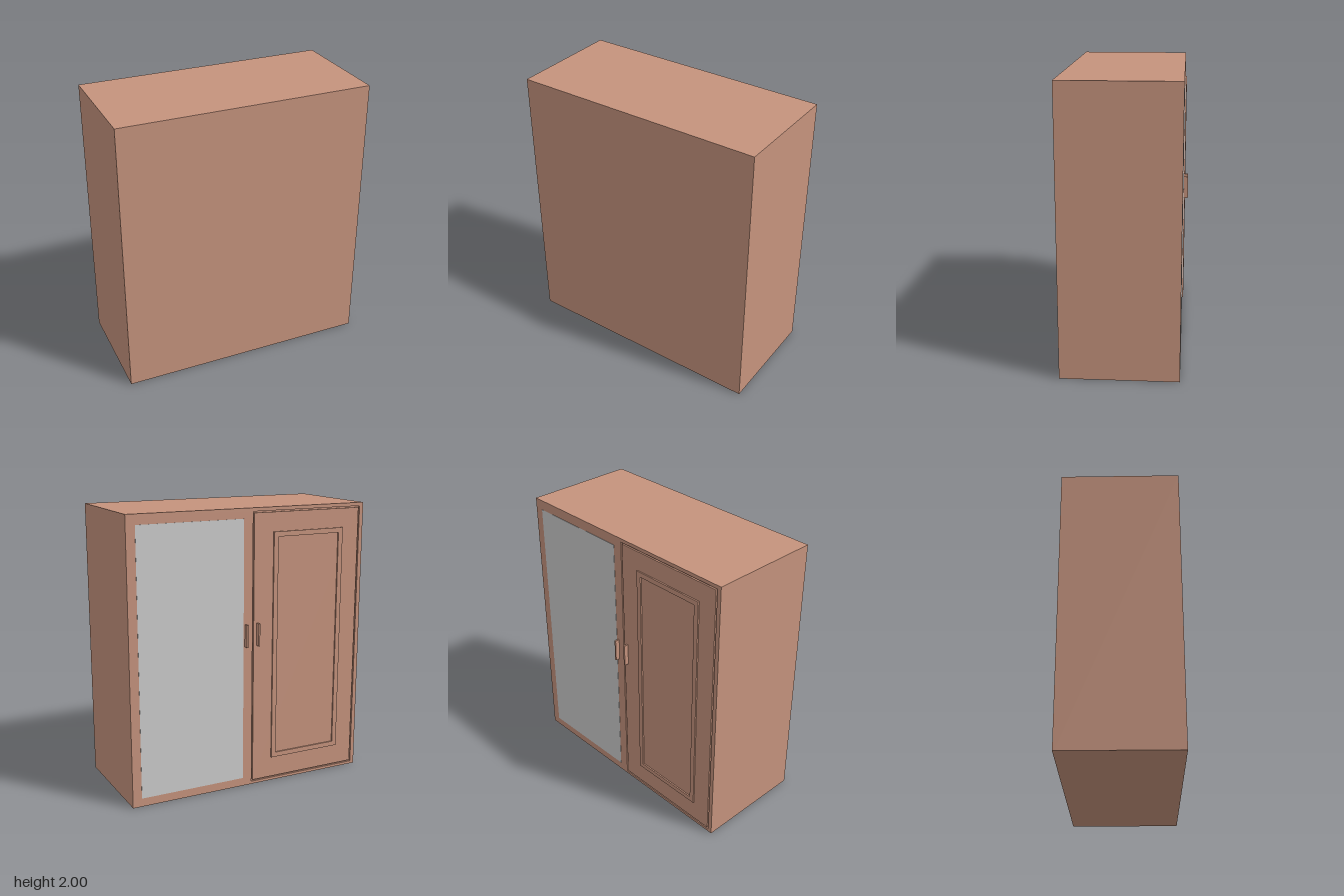
import * as THREE from 'three';

const wood = new THREE.MeshStandardMaterial({ color: 0xc5937d });
const grey = new THREE.MeshStandardMaterial({ color: 0xcccccc });

// Box given by its min and max corners
function box(name, x0, x1, y0, y1, z0, z1, material = wood) {
  const mesh = new THREE.Mesh(new THREE.BoxGeometry(x1 - x0, y1 - y0, z1 - z0), material);
  mesh.position.set((x0 + x1) / 2, (y0 + y1) / 2, (z0 + z1) / 2);
  mesh.name = name;
  return mesh;
}

function rectangle(path, x0, x1, y0, y1) {
  path.moveTo(x0, y0);
  path.lineTo(x1, y0);
  path.lineTo(x1, y1);
  path.lineTo(x0, y1);
  path.closePath();
  return path;
}

// Rectangular frame: outer and inner are [x0, x1, y0, y1]
function frame(name, outer, inner, z0, z1) {
  const shape = rectangle(new THREE.Shape(), ...outer);
  shape.holes.push(rectangle(new THREE.Path(), ...inner));
  const geometry = new THREE.ExtrudeGeometry(shape, { depth: z1 - z0, bevelEnabled: false });
  const mesh = new THREE.Mesh(geometry, wood);
  mesh.position.z = z0;
  mesh.name = name;
  return mesh;
}

export function createModel() {
  const group = new THREE.Group();
  group.name = 'wardrobe';
  const face = -0.39;
  const recess = face + 0.012;

  // Cabinet body, with a face frame that leaves a narrow gap around the door
  group.add(box('cabinetBody', -0.905, 0.905, 0, 2, recess, 0.42));
  group.add(frame('faceFrame', [-0.905, 0.905, 0, 2], [-0.875, -0.01, 0.02, 1.975], face, recess));
  group.add(box('panelDoor', -0.865, -0.02, 0.03, 1.965, face, recess));

  // Raised moulding on the panel door
  group.add(frame('doorMoulding', [-0.73, -0.17, 0.18, 1.83], [-0.695, -0.205, 0.215, 1.795], face - 0.01, face));

  // Mirror lying almost flush on the other door
  group.add(box('mirror', 0.06, 0.84, 0.06, 1.93, face - 0.002, face, grey));

  // Upright pull handles on both sides of the door gap
  for (const x of [-0.049, 0.044]) {
    group.add(box(x > 0 ? 'leftHandle' : 'rightHandle', x - 0.006, x + 0.006, 1.04, 1.2, -0.422, face));
  }
  return group;
}
